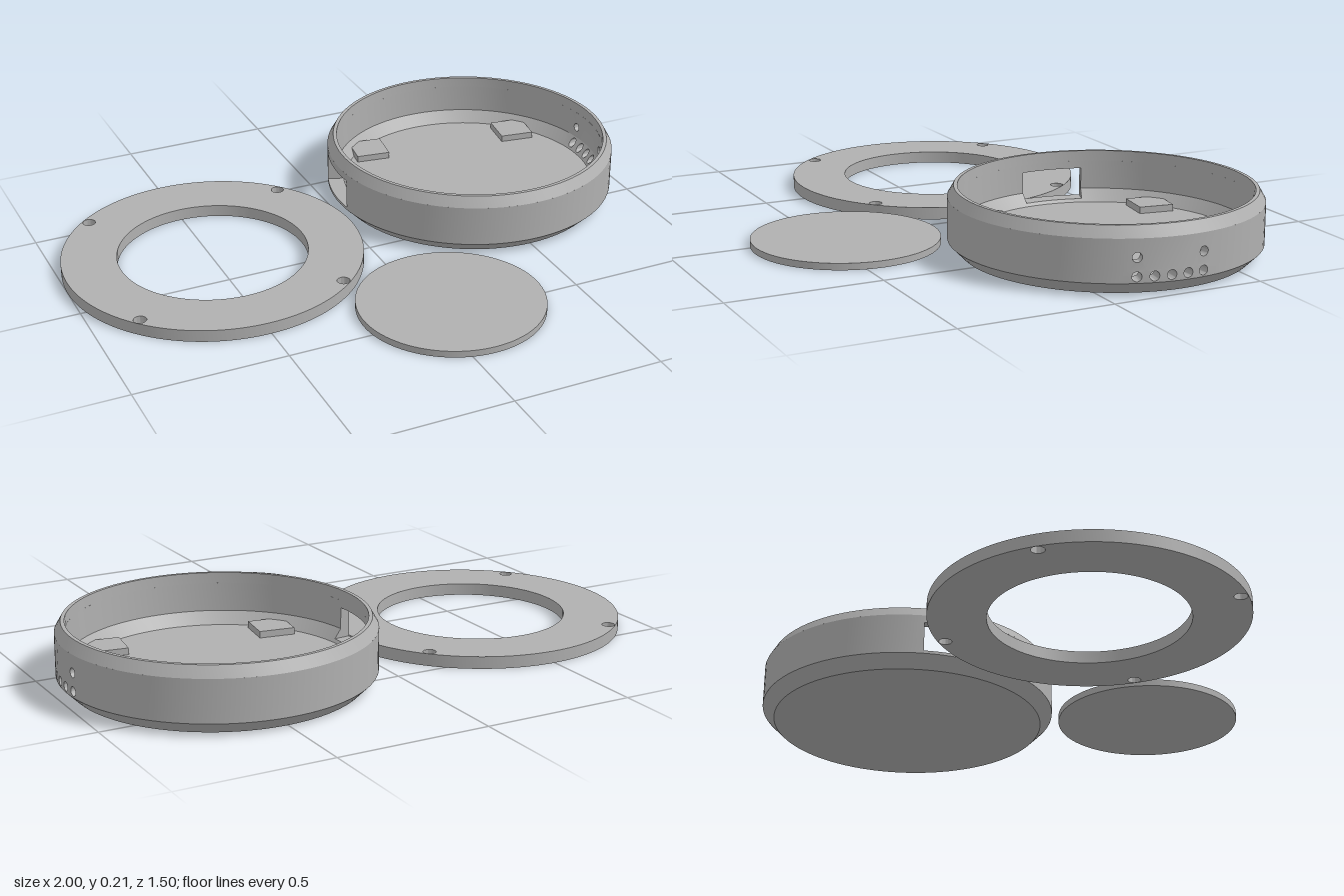
import * as THREE from 'three';
import { mergeGeometries, toCreasedNormals } from 'three/addons/utils/BufferGeometryUtils.js';

const R = 0.495;                       // outer radius of the case and the ring
const FLOOR = 0.04, STEP = 0.08, SHOULDER = 0.175, TOP = 0.21;
const INNER = 0.463, FLOOR_R = 0.433;
const SEG = 96;

// Inner wall radius: sloped near the floor, then vertical
const innerRadius = (y) =>
  FLOOR_R + (INNER - FLOOR_R) * Math.min((y - FLOOR) / (STEP - FLOOR), 1);

// Curved block of wall between two angles (from +x towards -z) and two heights
function wallCell(u0, u1, y0, y1, holeY) {
  const shape = new THREE.Shape([[u0, y0], [u1, y0], [u1, y1], [u0, y1]]
    .map(([u, y]) => new THREE.Vector2(u, y)));
  if (holeY) {
    const hole = new THREE.Path();
    hole.absellipse((u0 + u1) / 2, holeY, 0.015 / R, 0.015, 0, Math.PI * 2, true);
    shape.holes.push(hole);
  }
  const geo = new THREE.ExtrudeGeometry(shape, { depth: 1, bevelEnabled: false, curveSegments: 16 });
  const p = geo.attributes.position;
  for (let i = 0; i < p.count; i++) {
    const u = p.getX(i), y = p.getY(i);
    const r = THREE.MathUtils.lerp(innerRadius(y), R, p.getZ(i));
    p.setXYZ(i, r * Math.cos(u), y, -r * Math.sin(u));
  }
  return geo;
}

// Wall with five small holes on the +x side and a window on the -x side
function wallGeometry() {
  const cells = [];
  const span = (from, to, n, fn) => {
    const d = (to - from) / n;
    for (let i = 0; i < n; i++) fn(from + i * d, from + (i + 1) * d, i);
  };
  const solid = (a, b) => {
    cells.push(wallCell(a, b, FLOOR, STEP), wallCell(a, b, STEP, SHOULDER));
  };
  const holes0 = -0.396, holes1 = 0.144;
  const win0 = Math.PI - 0.351, win1 = Math.PI + 0.101;
  span(holes0, holes1, 5, (a, b, i) => {
    cells.push(wallCell(a, b, FLOOR, STEP, 0.06));
    cells.push(wallCell(a, b, STEP, SHOULDER, i % 4 === 0 ? 0.118 : 0));
  });
  span(holes1, win0, 40, solid);
  span(win0, win1, 8, (a, b) => {
    cells.push(wallCell(a, b, FLOOR, 0.05), wallCell(a, b, 0.15, SHOULDER));
  });
  span(win1, holes0 + Math.PI * 2, 40, solid);
  return toCreasedNormals(mergeGeometries(cells), 0.5);
}

function lathe(points) {
  const geo = new THREE.LatheGeometry(points.map(([x, y]) => new THREE.Vector2(x, y)), SEG);
  return toCreasedNormals(geo.toNonIndexed(), 0.5);
}

export function createModel() {
  const model = new THREE.Group();
  const grey = new THREE.MeshStandardMaterial({ color: 0xb0b0b0 });
  grey.name = 'grey plastic';
  const add = (parent, name, geo, x = 0, y = 0, z = 0) => {
    const mesh = new THREE.Mesh(geo, grey);
    mesh.name = name;
    mesh.position.set(x, y, z);
    parent.add(mesh);
    return mesh;
  };

  // Round open case
  const housing = new THREE.Group();
  housing.name = 'case';
  housing.position.set(0.502, 0, -0.257);
  model.add(housing);
  add(housing, 'caseBase', lathe([[0, 0], [0.455, 0], [R, FLOOR], [0, FLOOR]]));
  add(housing, 'caseWall', wallGeometry());
  add(housing, 'caseRim', lathe([[INNER, SHOULDER], [R, SHOULDER], [0.475, TOP],
    [INNER, TOP], [INNER, SHOULDER]]));

  // Four mounting pads on the case floor
  for (const [x, z] of [[-0.242, -0.312], [0.305, -0.242], [-0.312, 0.245], [0.241, 0.312]]) {
    const pad = add(housing, 'mountingPad', new THREE.BoxGeometry(0.118, 0.025, 0.118), x, 0.0495, z);
    pad.rotation.y = -0.14;
  }

  // Flat cover ring with four screw holes
  const ring = new THREE.Shape().absarc(0, 0, R, 0, Math.PI * 2);
  ring.holes.push(new THREE.Path().absarc(0, 0, 0.313, 0, Math.PI * 2, true));
  for (let i = 0; i < 4; i++) {
    const a = THREE.MathUtils.degToRad(41 + 90 * i);
    ring.holes.push(new THREE.Path()
      .absarc(0.472 * Math.cos(a), 0.472 * Math.sin(a), 0.021, 0, Math.PI * 2, true));
  }
  const ringGeo = new THREE.ExtrudeGeometry(ring, { depth: 0.04, bevelEnabled: false, curveSegments: SEG });
  ringGeo.rotateX(-Math.PI / 2);
  add(model, 'coverRing', toCreasedNormals(ringGeo, 0.5), -0.505, 0, -0.134);

  // Thin round disc
  add(model, 'disc', new THREE.CylinderGeometry(0.303, 0.303, 0.022, SEG), 0.076, 0.011, 0.445);
  return model;
}
